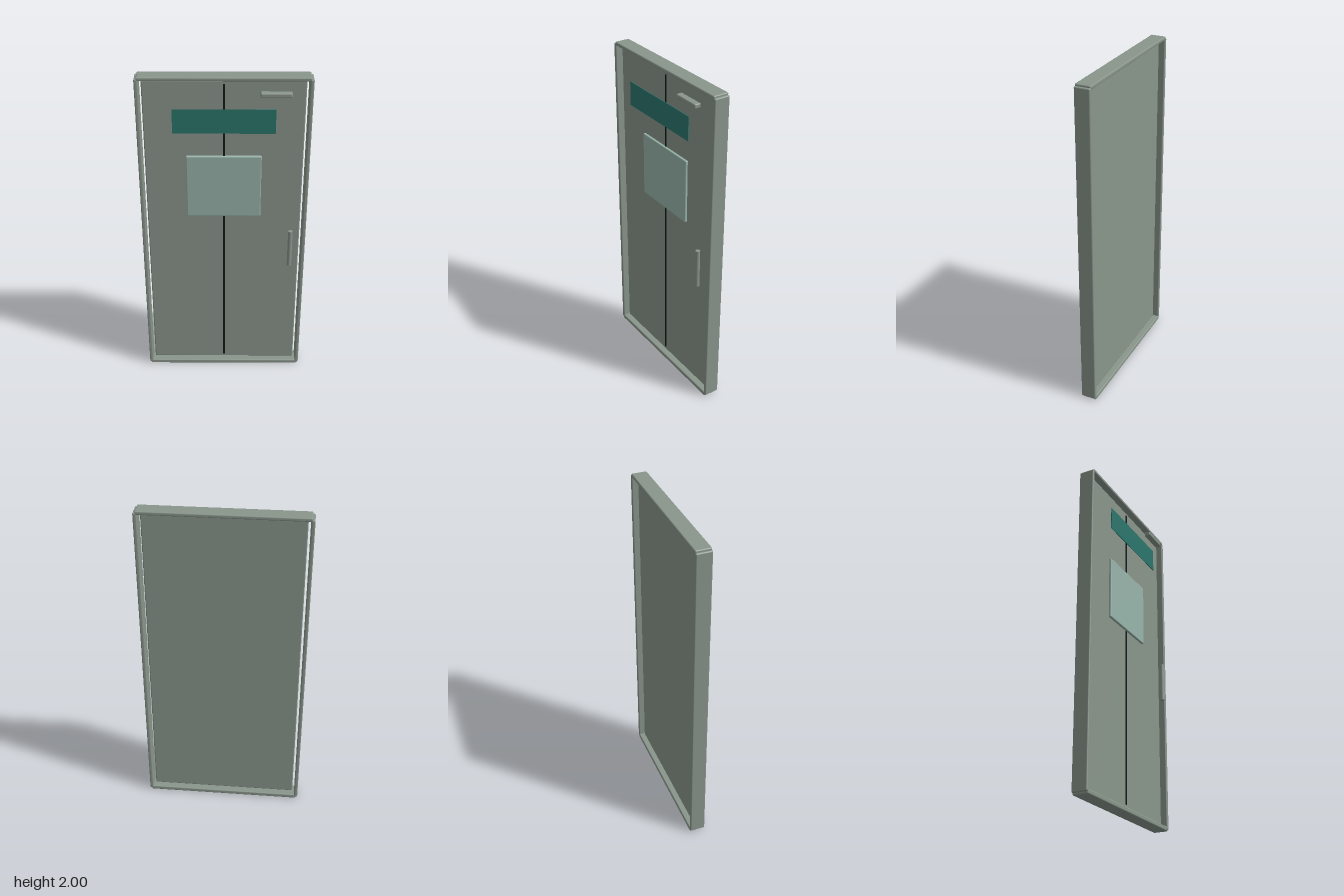
import * as THREE from 'three';
import { RoundedBoxGeometry } from 'three/addons/geometries/RoundedBoxGeometry.js';

const material = (name, color) => {
  const m = new THREE.MeshStandardMaterial({ color });
  m.name = name;
  return m;
};

export function createModel() {
  const door = new THREE.Group();
  door.name = 'door';

  const greyGreen = material('grey green paint', 0x89958b);
  const teal = material('teal sign', 0x2a756c);
  const paleGlass = material('pale glass', 0x97b4aa);
  const black = material('dark seam', 0x11181a);

  const add = (name, geometry, mat, x, y, z) => {
    const mesh = new THREE.Mesh(geometry, mat);
    mesh.name = name;
    mesh.position.set(x, y, z);
    door.add(mesh);
    return mesh;
  };

  // A box given by its limits, with rounded edges where r > 0
  const block = (name, mat, [x0, x1], [y0, y1], [z0, z1], r = 0) => {
    const size = [x1 - x0, y1 - y0, z1 - z0];
    const geometry = r ? new RoundedBoxGeometry(...size, 3, r) : new THREE.BoxGeometry(...size);
    return add(name, geometry, mat, (x0 + x1) / 2, (y0 + y1) / 2, (z0 + z1) / 2);
  };

  // Frame: two jambs, a lintel and a sill
  const depth = [-0.066, 0.027];
  block('leftJamb', greyGreen, [0.463, 0.485], [0.012, 1.988], depth, 0.007);
  block('rightJamb', greyGreen, [-0.485, -0.463], [0.012, 1.988], depth, 0.007);
  block('lintel', greyGreen, [-0.473, 0.473], [1.978, 2], depth, 0.007);
  block('sill', greyGreen, [-0.473, 0.473], [0, 0.028], depth, 0.007);

  // Door leaf, set back in the frame with a narrow gap around it
  block('doorLeaf', greyGreen, [-0.45, 0.45], [0.034, 1.971], [-0.034, -0.006], 0.007);
  block('centreSeam', black, [-0.006, 0.006], [0.055, 1.95], [-0.01, -0.003]);

  // Window and sign
  block('window', paleGlass, [-0.216, 0.214], [1.122, 1.517], [-0.016, 0.008], 0.006);
  block('signPlate', teal, [-0.285, 0.285], [1.68, 1.824], [0.042, 0.046]);

  // Handle bar and door closer
  add('handle', new THREE.CylinderGeometry(0.0135, 0.0135, 0.24, 24), greyGreen, 0.393, 0.923, 0.044);
  block('doorCloser', greyGreen, [0.197, 0.368], [1.899, 1.926], [0.027, 0.066], 0.007);

  return door;
}
